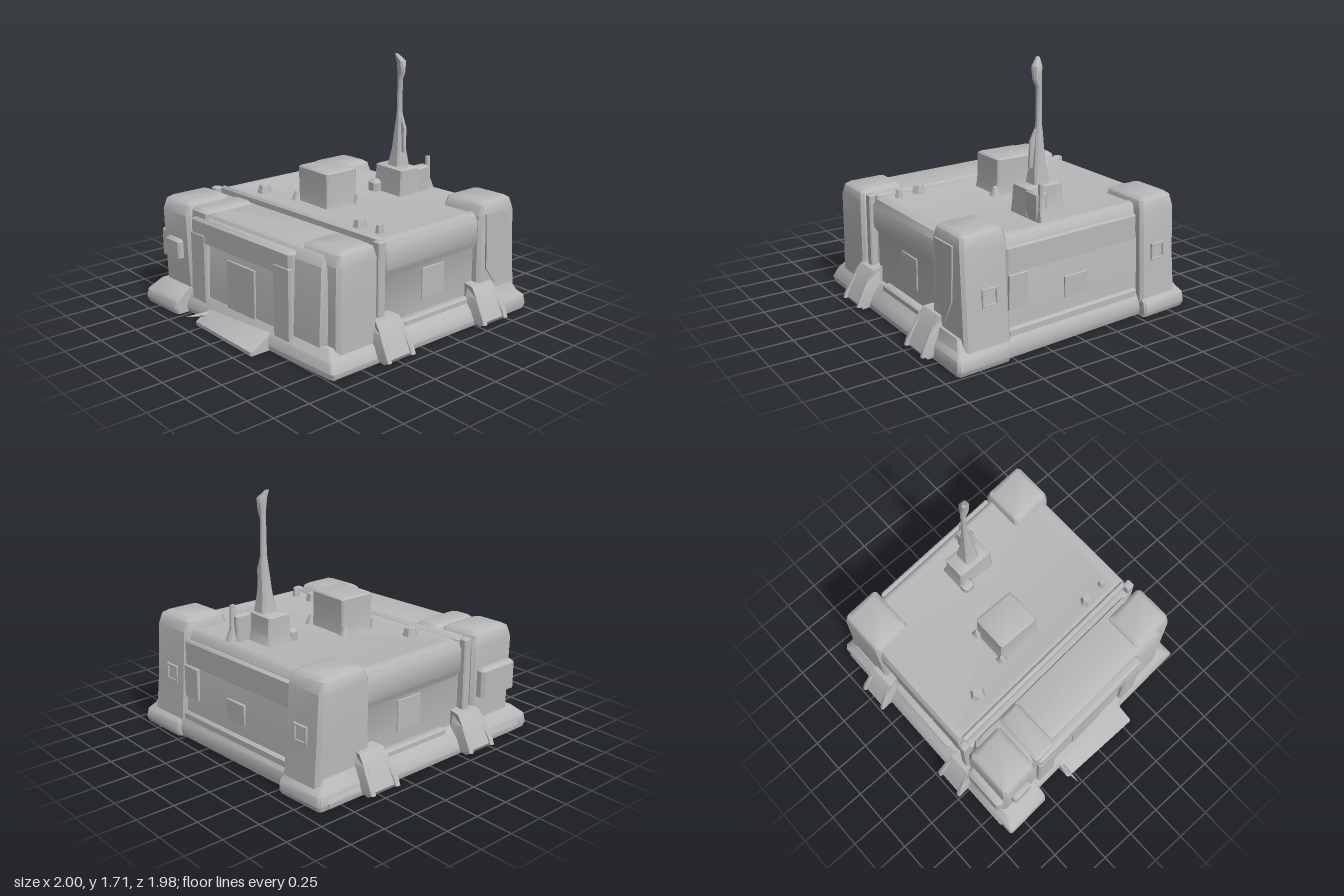
import * as THREE from 'three';
import { toCreasedNormals } from 'three/addons/utils/BufferGeometryUtils.js';

const stone = new THREE.MeshStandardMaterial({ color: 0xb8b8b8 });
stone.name = 'grey stone';
const SKEW = 0.06; // the plan leans slightly: x shifts with z

// Solid through stacked chamfered rectangles: levels of [y, x0, x1, z0, z1]
function loft(levels, chamfer = 0.02) {
  const pos = [], idx = [];
  for (const [y, x0, x1, z0, z1] of levels) {
    const c = Math.min(chamfer, (x1 - x0) * 0.3, (z1 - z0) * 0.3);
    const ring = [[x1, z1 - c], [x1 - c, z1], [x0 + c, z1], [x0, z1 - c],
      [x0, z0 + c], [x0 + c, z0], [x1 - c, z0], [x1, z0 + c]];
    for (const [x, z] of ring) pos.push(x, y, z);
  }
  const n = levels.length;
  for (let k = 0; k < n - 1; k++) {
    for (let i = 0; i < 8; i++) {
      const a = k * 8 + i, b = k * 8 + (i + 1) % 8;
      idx.push(a, a + 8, b, b, a + 8, b + 8);
    }
  }
  const t = (n - 1) * 8;
  for (let i = 1; i < 7; i++) idx.push(0, i, i + 1, t, t + i + 1, t + i);
  const g = new THREE.BufferGeometry();
  g.setAttribute('position', new THREE.Float32BufferAttribute(pos, 3));
  g.setIndex(idx);
  return g;
}

export function createModel() {
  const group = new THREE.Group();

  function add(name, geometry, skew = true) {
    if (skew) geometry.applyMatrix4(new THREE.Matrix4().set(1, 0, SKEW, 0, 0, 1, 0, 0, 0, 0, 1, 0, 0, 0, 0, 1));
    const mesh = new THREE.Mesh(toCreasedNormals(geometry, 0.75), stone);
    mesh.name = name;
    group.add(mesh);
  }
  // Box given by its limits, with a softened top edge
  function block(name, x0, x1, y0, y1, z0, z1, bevel = 0.012, skew = true) {
    add(name, loft([[y0, x0, x1, z0, z1], [y1 - bevel, x0, x1, z0, z1],
      [y1, x0 + bevel, x1 - bevel, z0 + bevel, z1 - bevel]], bevel), skew);
  }

  // Ground skirt with sloping sides
  add('skirt', loft([[0.01, -0.79, 0.91, -0.89, 0.89], [0.05, -0.8, 0.92, -0.9, 0.9],
    [0.11, -0.78, 0.91, -0.87, 0.87], [0.17, -0.74, 0.87, -0.81, 0.81]], 0.015));

  // Main hall with a rounded roof edge
  add('mainHall', loft([[0.1, -0.3, 0.88, -0.78, 0.78], [0.5, -0.3, 0.86, -0.78, 0.78],
    [0.55, -0.31, 0.85, -0.81, 0.81], [0.69, -0.31, 0.83, -0.81, 0.81],
    [0.735, -0.3, 0.81, -0.79, 0.79], [0.75, -0.27, 0.78, -0.75, 0.75],
    [0.742, -0.24, 0.75, -0.72, 0.72]], 0.025));

  // Lower side wing, seam and roof step
  add('sideWing', loft([[0.1, -0.75, -0.35, -0.76, 0.76], [0.66, -0.73, -0.35, -0.76, 0.76],
    [0.72, -0.7, -0.36, -0.74, 0.74], [0.735, -0.66, -0.37, -0.7, 0.7]], 0.03));
  block('seamFill', -0.37, -0.29, 0.05, 0.69, -0.77, 0.77);
  block('wingRoofStep', -0.75, -0.37, 0.6, 0.755, -0.52, -0.34, 0.02);
  block('wingCanopy', -0.77, -0.68, 0.54, 0.7, -0.5, 0.5, 0.02);
  for (const z of [-0.42, 0.42]) block('doorJamb', -0.775, -0.72, 0.08, 0.6, z - 0.08, z + 0.08);
  block('door', -0.755, -0.74, 0.1, 0.48, -0.14, 0.14, 0.004);

  // Corner pillars: [x0, x1, z0, z1, top, side, flare at the foot, window z]
  const pillars = [
    [0.52, 0.9, -0.825, -0.53, 0.79, 1, 0.045, -0.67], [0.525, 0.86, 0.51, 0.835, 0.82, 1, 0.05, 0.65],
    [-0.77, -0.39, -0.825, -0.53, 0.77, -1, -0.02, -0.67], [-0.705, -0.385, 0.505, 0.845, 0.765, -1, 0.005, 0.67],
  ];
  for (const [x0, x1, z0, z1, top, s, flare, zw] of pillars) {
    const level = (y, f, inX, inZ) => [y, x0 + inX - (s < 0 ? f : 0), x1 - inX + (s > 0 ? f : 0), z0 + inZ, z1 - inZ];
    add('cornerPillar', loft([level(0.1, flare, 0, -0.005), level(0.35, flare / 2, 0, 0),
      level(top - 0.09, 0, 0, 0), level(top - 0.02, 0, 0.02, 0.012), level(top, 0, 0.05, 0.038)], 0.02));
    // Small framed window on the outer side
    const x = s > 0 ? x1 + flare * 0.3 : x0 - flare * 0.3;
    for (const d of [-0.05, 0.05]) {
      block('windowFrame', x - 0.015, x + 0.015, 0.365, 0.485, zw + d - 0.008, zw + d + 0.008, 0.003);
      block('windowFrame', x - 0.015, x + 0.015, 0.418 + d, 0.432 + d, zw - 0.055, zw + 0.055, 0.003);
    }
  }

  // Spreading corner feet
  const feet = [
    [0.5, 0.98, -0.89, -0.53, 0.18], [0.5, 0.945, 0.53, 0.91, 0.2],
    [-0.89, -0.4, -0.89, -0.53, 0.17], [-0.79, -0.36, 0.5, 0.87, 0.17],
  ];
  for (const [x0, x1, z0, z1, top] of feet) {
    const r = x0 > 0, b = z0 < 0;
    const step = (y, d) => [y, r ? x0 : x0 + d, r ? x1 - d : x1, b ? z0 + d * 0.6 : z0, b ? z1 : z1 - d * 0.6];
    add('cornerFoot', loft([step(0.005, 0.015), step(0.04, 0), step(0.1, 0.01), step(0.135, 0.05), step(top, 0.09)], 0.015));
  }

  // Buttresses at the front and back, wider at the outer end
  for (const s of [1, -1]) for (const xc of [-0.32, 0.54]) {
    const side = new THREE.Shape([[0.76, 0.02], [0.95, 0.02], [0.97, 0.05], [0.94, 0.12],
      [0.89, 0.22], [0.855, 0.265], [0.76, 0.275]].map(p => new THREE.Vector2(...p)));
    const g = new THREE.ExtrudeGeometry(side, { depth: 1, bevelEnabled: false });
    g.translate(0, 0, -0.5).rotateY(-Math.PI / 2);
    const p = g.attributes.position;
    for (let i = 0; i < p.count; i++) p.setX(i, p.getX(i) * (0.16 + (p.getZ(i) - 0.78) * 0.4));
    if (s < 0) g.rotateY(Math.PI);
    g.translate(xc, 0, 0);
    g.computeVertexNormals();
    add('buttress', g);
    for (const e of [-1, 1]) {
      const level = (y, off, w, z) => [y, xc + e * off - w, xc + e * off + w, ...(s > 0 ? [0.8, z] : [-z, -0.8])];
      add('buttressCheek', loft([level(0.04, 0.1, 0.018, 0.99), level(0.08, 0.1, 0.018, 0.975),
        level(0.2, 0.088, 0.016, 0.905), level(0.26, 0.072, 0.01, 0.86)], 0.008));
    }
  }

  for (const s of [1, -1]) {
    // Pilaster beside the seam
    block('seamPilaster', -0.365, -0.305, 0.1, 0.755, s * 0.795 - 0.03, s * 0.795 + 0.03, 0.008);
    // Shallow wall panel and ledge
    block('wallPanel', 0.05, 0.25, 0.27, 0.48, s * 0.782 - 0.006, s * 0.782 + 0.006, 0.003);
    block('baseLedge', -0.15, 0.45, 0.15, 0.19, s * 0.8 - 0.03, s * 0.8 + 0.03, 0.01);
  }
  block('roofSeamRim', -0.32, -0.28, 0.7, 0.762, -0.78, 0.78, 0.015);

  // Side wall panels
  block('sidePanel', 0.86, 0.88, 0.27, 0.41, -0.1, 0.08, 0.004);
  block('sidePanel', 0.86, 0.885, 0.3, 0.52, 0.37, 0.51, 0.004);
  block('sideBand', 0.83, 0.868, 0.52, 0.69, -0.52, 0.52, 0.012);
  block('sideLedge', 0.85, 0.9, 0.14, 0.19, -0.52, 0.52, 0.012);

  // Pointed plate on the front right pillar
  const plate = new THREE.Shape([[0.62, 0.74], [0.825, 0.74], [0.81, 0.4], [0.73, 0.24], [0.64, 0.36]]
    .map(p => new THREE.Vector2(...p)));
  add('pointedPlate', new THREE.ExtrudeGeometry(plate, { depth: 0.02, bevelEnabled: false })
    .translate(0, 0, 0.825), false);

  // Bulging boxes on the back left pillar
  block('backBox', -0.75, -0.43, 0.33, 0.53, -0.88, -0.8, 0.02);
  block('outerBox', -0.8, -0.74, 0.37, 0.5, -0.76, -0.6, 0.015);

  // Entry ramp with a pointed end
  add('entryRamp', loft([[0.01, -0.91, -0.7, -0.31, 0.32], [0.035, -0.91, -0.7, -0.31, 0.32],
    [0.13, -0.74, -0.7, -0.3, 0.31]], 0.01), false);
  const spike = new THREE.ConeGeometry(0.03, 0.26, 5).rotateZ(Math.PI / 2 - 0.15);
  add('rampSpike', spike.translate(-0.872, 0.075, -0.29), false);

  // Roof hut with low corner fins
  add('roofHut', loft([[0.73, -0.115, 0.165, -0.225, 0.105], [0.785, -0.105, 0.155, -0.215, 0.095],
    [0.975, -0.105, 0.155, -0.215, 0.09], [0.985, -0.095, 0.145, -0.205, 0.08]], 0.01), false);
  for (const [x, z] of [[-0.11, -0.22], [0.14, -0.22], [0.15, 0.11]])
    add('hutFin', loft([[0.73, x - 0.04, x + 0.04, z - 0.035, z + 0.035],
      [0.8, x - 0.015, x + 0.015, z - 0.015, z + 0.015]], 0.01), false);

  // Mast base and its side fittings
  add('mastBase', loft([[0.73, 0.46, 0.665, -0.09, 0.205], [0.8, 0.468, 0.645, -0.075, 0.2],
    [0.92, 0.475, 0.64, -0.07, 0.195], [0.93, 0.49, 0.625, -0.055, 0.18]], 0.012), false);
  block('mastSideBox', 0.62, 0.75, 0.74, 0.92, 0.12, 0.2, 0.012, false);
  add('mastSideFin', loft([[0.74, 0.72, 0.8, 0.13, 0.2], [0.82, 0.73, 0.77, 0.15, 0.19],
    [0.98, 0.73, 0.765, 0.16, 0.185]], 0.008), false);
  block('mastSideBox', 0.41, 0.49, 0.74, 0.82, -0.09, 0, 0.02, false);

  // Mast with a tapering foot and blade tip
  add('mast', loft([[0.92, 0.505, 0.625, 0.01, 0.125], [1.05, 0.525, 0.605, 0.03, 0.11],
    [1.25, 0.543, 0.597, 0.045, 0.095], [1.3, 0.548, 0.59, 0.048, 0.085],
    [1.53, 0.548, 0.585, 0.05, 0.085], [1.58, 0.545, 0.585, 0.05, 0.11],
    [1.66, 0.535, 0.59, 0.05, 0.11], [1.71, 0.525, 0.55, 0.048, 0.065]], 0.012), false);
  add('mastFin', loft([[1.03, 0.55, 0.575, 0.08, 0.135], [1.2, 0.555, 0.58, 0.08, 0.13],
    [1.27, 0.56, 0.58, 0.07, 0.1]], 0.005), false);

  // Roof knobs
  for (const [x, z, r] of [[-0.18, -0.5, 0.055], [-0.18, 0.5, 0.05], [-0.16, 0.66, 0.03]])
    add('roofKnob', new THREE.CylinderGeometry(r * 0.7, r, 0.06, 6).translate(x, 0.765, z), false);

  return group;
}
